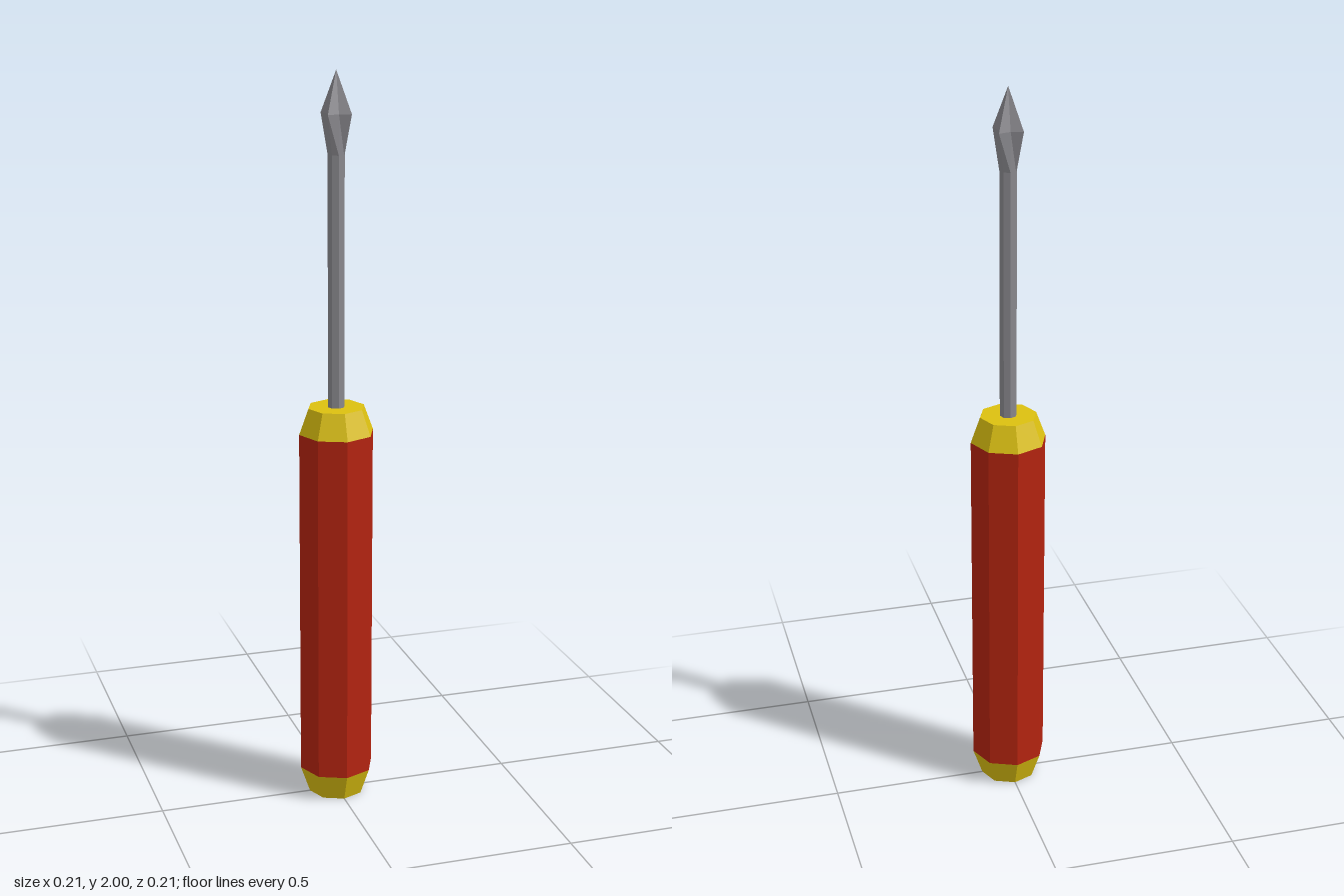
import * as THREE from 'three';

const SIDES = 8;

const red = new THREE.MeshStandardMaterial({ color: 0xb52410 });
red.name = 'gripRed';
const yellow = new THREE.MeshStandardMaterial({ color: 0xdcc010 });
yellow.name = 'capYellow';
const grey = new THREE.MeshStandardMaterial({ color: 0x8a898e });
grey.name = 'steelGrey';

// Eight-sided turned part from [radius, height] pairs, listed bottom to top
function turned(profile) {
  return new THREE.LatheGeometry(profile.map(([r, y]) => new THREE.Vector2(r, y)), SIDES);
}

// Faceted mesh with one normal per face
function facetedMesh(name, geometry, material) {
  const flat = geometry.toNonIndexed();
  flat.computeVertexNormals();
  const mesh = new THREE.Mesh(flat, material);
  mesh.name = name;
  return mesh;
}

// Cross-shaped point: the widest ring has its diagonal corners pulled out
function tipGeometry() {
  const widest = 1.89;
  const geometry = turned([[0.023, 1.785], [0.024, widest], [0, 2]]);
  const pos = geometry.attributes.position;
  for (let i = 0; i < pos.count; i++) {
    const x = pos.getX(i), z = pos.getZ(i);
    const diagonal = Math.abs(x * z) > 1e-5;
    if (diagonal && Math.abs(pos.getY(i) - widest) < 1e-4) {
      pos.setX(i, Math.sign(x) * 0.032);
      pos.setZ(i, Math.sign(z) * 0.032);
    }
  }
  return geometry;
}

export function createModel() {
  const model = new THREE.Group();
  model.name = 'screwdriver';
  model.add(
    facetedMesh('handleGrip', turned([[0.103, 0.075], [0.103, 1.045]]), red),
    facetedMesh('handleBottomCap', turned([[0, 0], [0.077, 0], [0.103, 0.075]]), yellow),
    facetedMesh('handleTopCap', turned([[0.103, 1.045], [0.077, 1.115], [0, 1.115]]), yellow),
    facetedMesh('shaft', turned([[0.023, 1.115], [0.023, 1.785]]), grey),
    facetedMesh('tip', tipGeometry(), grey),
  );
  return model;
}
